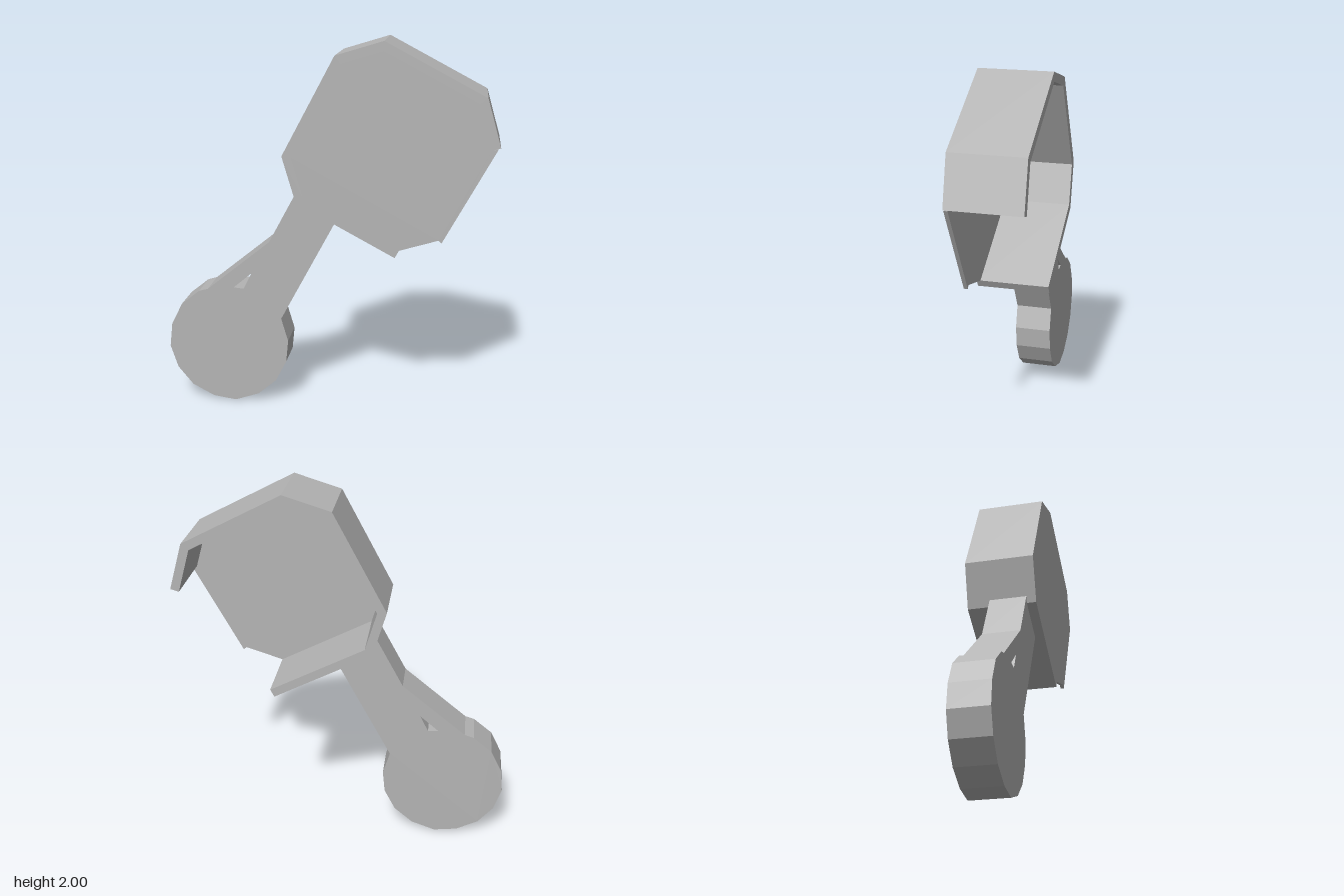
import * as THREE from 'three';

// Prism from an outline, between two depths, with optional holes
function prism(name, points, z0, z1, material, holes = []) {
  const toVectors = (list) => list.map(([x, y]) => new THREE.Vector2(x, y));
  const shape = new THREE.Shape(toVectors(points));
  for (const hole of holes) shape.holes.push(new THREE.Path(toVectors(hole)));
  const geometry = new THREE.ExtrudeGeometry(shape, { depth: z1 - z0, bevelEnabled: false });
  geometry.translate(0, 0, z0);
  const mesh = new THREE.Mesh(geometry, material);
  mesh.name = name;
  return mesh;
}

// Offset an open path to its left by t, mitring the corners
function offsetPath(path, t) {
  const normal = (a, b) => {
    const l = Math.hypot(b[0] - a[0], b[1] - a[1]);
    return [-(b[1] - a[1]) / l, (b[0] - a[0]) / l];
  };
  return path.map((p, i) => {
    const n1 = normal(path[Math.max(i - 1, 0)], path[Math.max(i, 1)]);
    const last = path.length - 1;
    const n2 = normal(path[Math.min(i, last - 1)], path[Math.min(i + 1, last)]);
    const k = t / (1 + n1[0] * n2[0] + n1[1] * n2[1]);
    return [p[0] + (n1[0] + n2[0]) * k, p[1] + (n1[1] + n2[1]) * k];
  });
}

export function createModel() {
  const grey = new THREE.MeshStandardMaterial({ color: 0xb4b4b4 });
  grey.name = 'plain grey';
  grey.flatShading = true;
  const model = new THREE.Group();
  model.name = 'bracket';

  // Rim of the octagonal cup, open on its lower right side
  const rim = [
    [0.88, 1.48], [0.807, 1.728], [0.29, 2.0], [0.043, 1.925],
    [-0.232, 1.408], [-0.16, 1.163], [0.36, 0.886],
  ];
  const inner = offsetPath(rim, 0.046);
  model.add(prism('cupRim', [...rim, ...inner.slice().reverse()], -0.188, 0.188, grey));

  // Thin front plate closing the cup
  const plate = [...inner, [0.585, 0.99], [0.6, 0.975], [0.868, 1.473]];
  model.add(prism('cupFrontPlate', plate, 0.168, 0.188, grey));

  // Arm with a round end and a small triangular hole
  const arm = [
    [-0.17, 1.2], [-0.315, 0.93], [-0.66, 0.65], [-0.71, 0.635], [-0.81, 0.555],
    [-0.87, 0.435], [-0.885, 0.305], [-0.845, 0.18], [-0.763, 0.08], [-0.645, 0.018],
    [-0.52, 0], [-0.39, 0.045], [-0.29, 0.13], [-0.23, 0.247], [-0.218, 0.37],
    [-0.255, 0.497], [0.045, 1.06], [-0.155, 1.166],
  ];
  const hole = [[-0.515, 0.665], [-0.46, 0.66], [-0.415, 0.75]];
  model.add(prism('arm', arm, -0.065, 0.137, grey, [hole]));

  return model;
}
